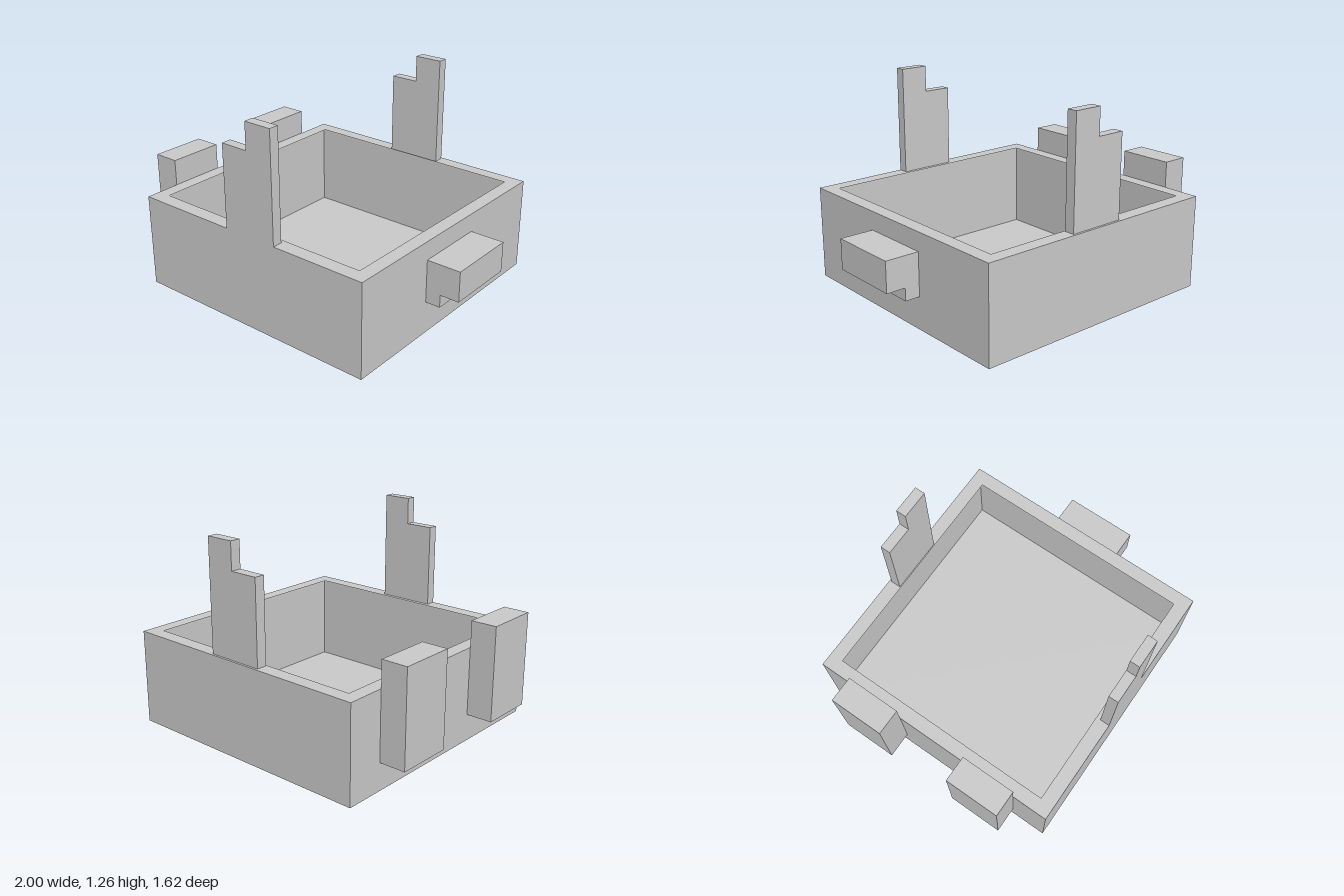
import * as THREE from 'three';

const material = new THREE.MeshStandardMaterial({ color: 0xcccccc, flatShading: true });
const thinMaterial = new THREE.MeshStandardMaterial({ color: 0xcccccc, flatShading: true, side: THREE.DoubleSide });

const toPoints = (list) => list.map(([x, y]) => new THREE.Vector2(x, y));
const rect = (x0, y0, x1, y1) => [[x0, y0], [x1, y0], [x1, y1], [x0, y1]];

function part(name, geometry, mat = material) {
  const mesh = new THREE.Mesh(geometry, mat);
  mesh.name = name;
  return mesh;
}

// Extrude an x/y outline between two z planes
function prism(name, outline, z0, z1) {
  const geometry = new THREE.ExtrudeGeometry(new THREE.Shape(toPoints(outline)), { depth: z1 - z0, bevelEnabled: false });
  return part(name, geometry.translate(0, 0, z0));
}

export function createModel() {
  const group = new THREE.Group();
  group.name = 'openTray';
  const left = 0.787, right = -0.838, half = 0.811, rim = 0.583;

  // Thin tray shell: a box without its top face (the third of six)
  const shell = new THREE.BoxGeometry(left - right, rim, 2 * half);
  shell.translate((left + right) / 2, rim / 2, 0);
  shell.setIndex([...shell.index.array].filter((v, i) => i < 12 || i >= 18));
  shell.clearGroups();
  group.add(part('trayShell', shell, thinMaterial));

  // Flat rim overhanging the inside of the shell
  const rimShape = new THREE.Shape(toPoints(rect(right, -half, left, half)));
  rimShape.holes.push(new THREE.Path(toPoints(rect(-0.753, -0.722, 0.701, 0.726))));
  const rimGeometry = new THREE.ShapeGeometry(rimShape).rotateX(-Math.PI / 2).translate(0, rim, 0);
  group.add(part('trayRim', rimGeometry, thinMaterial));

  // Stepped uprights standing on the front and back rims
  const step = [[-0.172, rim], [0.184, rim], [0.184, 1.258], [0.006, 1.258], [0.006, 1.093], [-0.172, 1.093]];
  group.add(prism('frontUpright', step, 0.749, half));
  group.add(prism('backUpright', step, -0.797, -0.733));

  // Two blocks on the right wall
  for (const [name, z] of [['frontSideBlock', 0.414], ['backSideBlock', -0.4]]) {
    group.add(prism(name, rect(-1, 0.166, right, 0.744), z - 0.173, z + 0.173));
  }

  // Handle with a lower lip on the left wall
  group.add(prism('handle', [[left, 0.201], [0.88, 0.201], [0.88, 0.279], [1, 0.279], [1, 0.467], [left, 0.467]],
    -0.217, 0.232));

  return group;
}
